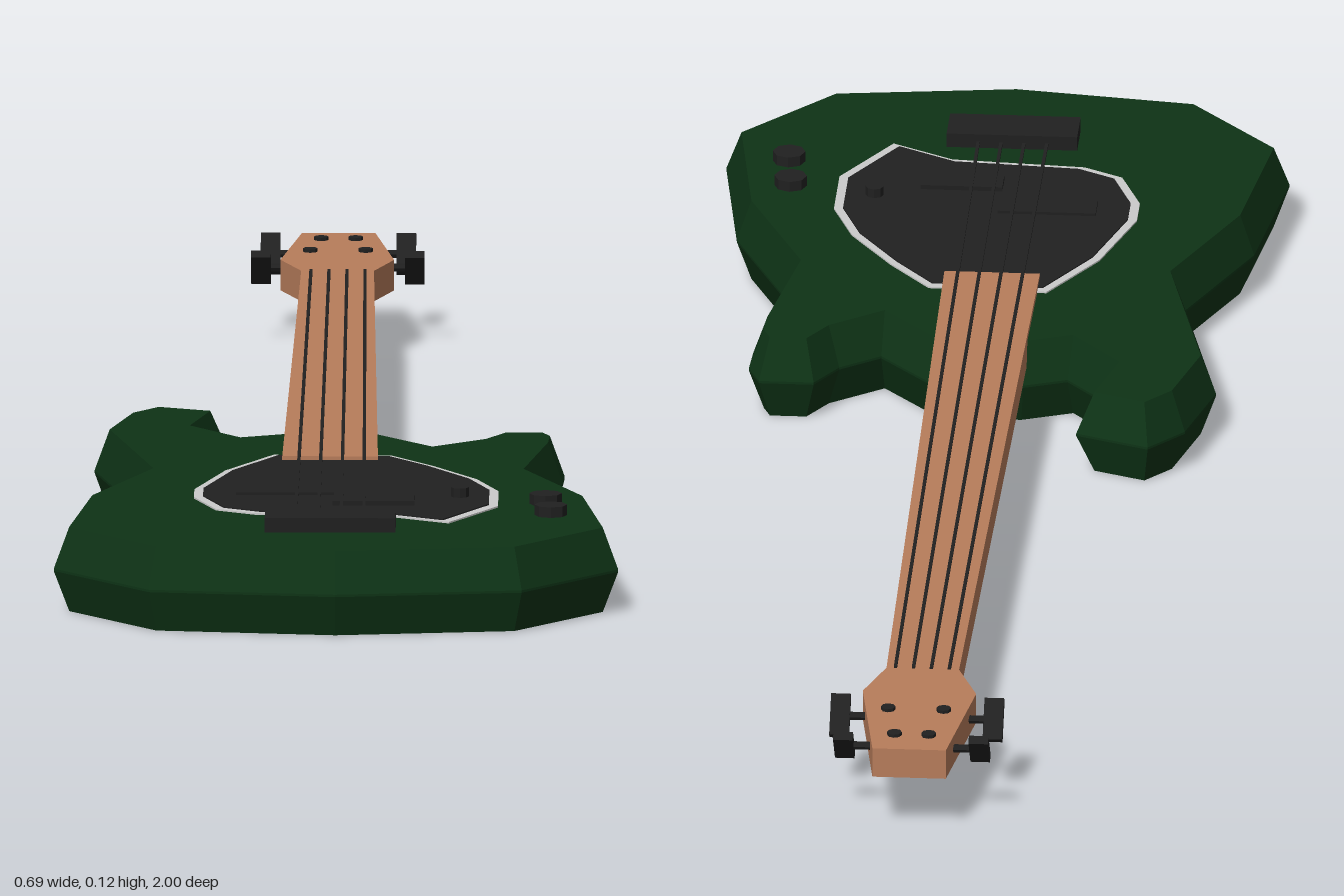
import * as THREE from 'three';

const mat = (color) => new THREE.MeshStandardMaterial({ color, flatShading: true });

// Plate lying flat: outline given as [x, z], filling y0..y1, optional bevel to a ridge at mid height
function plate(name, pts, y0, y1, material, bevel = 0) {
  const shape = new THREE.Shape(pts.map(([x, z]) => new THREE.Vector2(x, z)));
  const ridge = 0.003;
  const h = y1 - y0;
  const t = (h - ridge) / 2;
  const g = new THREE.ExtrudeGeometry(shape, bevel
    ? { depth: ridge, bevelEnabled: true, bevelSegments: 1, bevelThickness: t, bevelSize: bevel, bevelOffset: -bevel }
    : { depth: h, bevelEnabled: false });
  g.rotateX(Math.PI / 2);
  g.translate(0, bevel ? y1 - t : y1, 0);
  const m = new THREE.Mesh(g, material);
  m.name = name;
  return m;
}

function add(parent, name, geometry, material, x, y, z) {
  const m = new THREE.Mesh(geometry, material);
  m.name = name;
  m.position.set(x, y, z);
  parent.add(m);
  return m;
}

export function createModel() {
  const guitar = new THREE.Group();
  guitar.name = 'bassGuitar';
  const green = mat(0x0e3316);
  const wood = mat(0xb87d5b);
  const black = mat(0x202020);
  const white = mat(0xcccccc);

  // Body with two horns and bevelled rim
  guitar.add(plate('body', [
    [-0.228, 0.045], [-0.138, 0.08], [-0.164, 0.18], [-0.116, 0.238], [-0.063, 0.217],
    [0.05, 0.217], [0.116, 0.292], [0.165, 0.255], [0.193, 0.208], [0.26, 0.208],
    [0.275, 0.245], [0.273, 0.29], [0.245, 0.455], [0.317, 0.624], [0.345, 0.836],
    [0.228, 0.97], [0, 1], [-0.228, 0.97], [-0.345, 0.836], [-0.317, 0.624],
    [-0.245, 0.455], [-0.3, 0.21], [-0.27, 0.095],
  ], 0, 0.105, green, 0.018));

  // Pickguard: pale rim with a smaller dark plate on top
  const guard = [
    [-0.08, 0.38], [-0.138, 0.48], [-0.175, 0.6], [-0.175, 0.65], [-0.148, 0.725],
    [-0.1, 0.752], [0.063, 0.764], [0.138, 0.806], [0.197, 0.704], [0.197, 0.61],
    [0.17, 0.534], [0.116, 0.45], [0.065, 0.385],
  ];
  guitar.add(plate('pickguardRim', guard, 0.1, 0.107, white));
  const inner = guard.map(([x, z]) => [0.01 + (x - 0.01) * 0.94, 0.59 + (z - 0.59) * 0.95]);
  guitar.add(plate('pickguard', inner, 0.1, 0.1085, black));

  // Neck and headstock in one piece
  guitar.add(plate('neck', [
    [-0.069, 0.42], [0.048, 0.42], [0.034, -0.76], [0.058, -0.83], [0.034, -1],
    [-0.056, -1], [-0.081, -0.83], [-0.055, -0.76],
  ], 0.075, 0.113, wood));

  // Strings, fanning out slightly towards the bridge
  for (let i = 0; i < 4; i++) {
    const s = i - 1.5;
    const a = new THREE.Vector3(-0.01 + s * 0.022, 0.114, -0.76);
    const b = new THREE.Vector3(-0.008 + s * 0.028, 0.114, 0.8);
    const string = add(guitar, 'string', new THREE.BoxGeometry(0.004, 0.003, a.distanceTo(b)), black, 0, 0, 0);
    string.position.copy(a).lerp(b, 0.5);
    string.lookAt(b);
  }

  // Bridge and split pickup
  add(guitar, 'bridge', new THREE.BoxGeometry(0.16, 0.022, 0.06), black, -0.007, 0.112, 0.835);
  add(guitar, 'pickupBass', new THREE.BoxGeometry(0.12, 0.012, 0.04), black, -0.064, 0.106, 0.625);
  add(guitar, 'pickupTreble', new THREE.BoxGeometry(0.1, 0.014, 0.04), black, 0.045, 0.107, 0.69);

  // Control knobs
  for (const [x, z, r, top] of [[0.255, 0.678, 0.02, 0.118], [0.262, 0.75, 0.02, 0.118], [0.15, 0.65, 0.011, 0.12]]) {
    add(guitar, 'knob', new THREE.CylinderGeometry(r, r, 0.018, 8), black, x, top - 0.009, z);
  }

  // Tuners: string post, shaft and tilted paddle on each side
  for (const side of [-1, 1]) {
    for (const [z, postX, paddleX, tilt] of [[-0.955, 0.021, 0.083, 0.85], [-0.868, 0.034, 0.094, -0.85]]) {
      const tuner = new THREE.Group();
      tuner.name = 'tuner';
      tuner.position.set(-0.011, 0, z);
      const postZ = z < -0.9 ? -0.003 : -0.015;
      add(tuner, 'post', new THREE.CylinderGeometry(0.009, 0.009, 0.02, 8), black, side * postX, 0.107, postZ);
      const shaft = add(tuner, 'shaft', new THREE.CylinderGeometry(0.005, 0.005, 0.06, 6), black, side * (paddleX - 0.03), 0.096, 0);
      shaft.rotation.z = Math.PI / 2;
      const paddle = add(tuner, 'paddle', new THREE.BoxGeometry(0.024, 0.011, 0.053), black, side * paddleX, 0.096, 0);
      paddle.rotation.x = tilt;
      guitar.add(tuner);
    }
  }
  return guitar;
}
